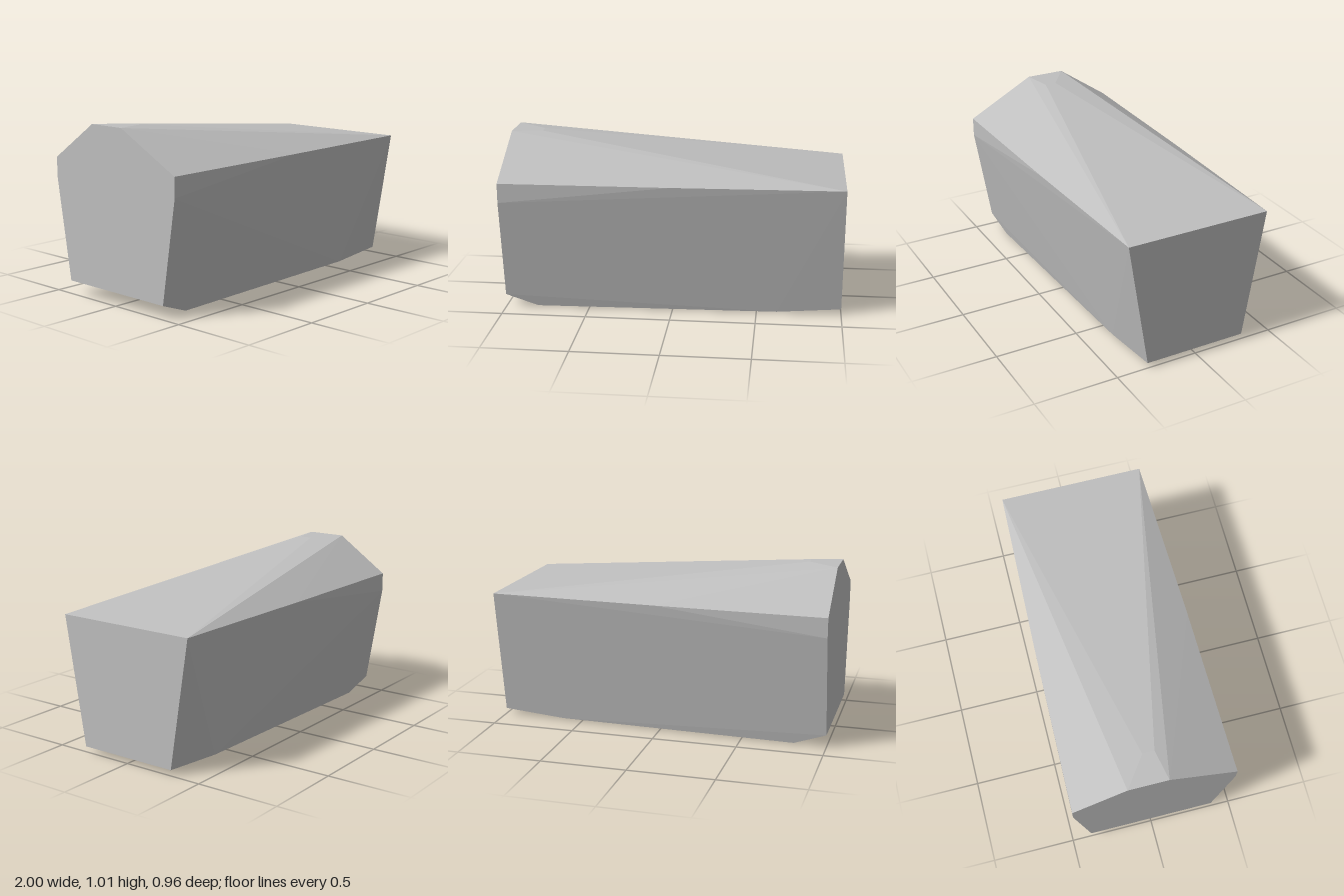
import * as THREE from 'three';
import { ConvexGeometry } from 'three/addons/geometries/ConvexGeometry.js';

export function createModel() {
  const model = new THREE.Group();
  model.name = 'facetedBlock';
  const grey = new THREE.MeshStandardMaterial({ color: 0xbfbfbf });
  grey.name = 'plainGrey';

  // Mirrored corners: x, y, half depth
  const corners = [
    [-1, 0.795, 0.48], [-1, 0.68, 0.48], [-1, 0.08, 0.382], // tall end
    [0, 0.795, 0.464],                                      // slight side bulge
    [1, 0.795, 0.435], [1, 0.035, 0.31],                    // low end
    [-0.81, 0.008, 0.362], [0.62, 0.01, 0.325],             // underside rim
    [-0.2, 0.002, 0.2],                                     // belly
    [-0.82, 1.01, 0.035],                                   // ridge tip
  ];
  const points = corners.flatMap(([x, y, z]) => [
    new THREE.Vector3(x, y, z), new THREE.Vector3(x, y, -z),
  ]);
  // Off-centre ridge at the tall end
  points.push(new THREE.Vector3(-1, 1.012, 0.072), new THREE.Vector3(-1, 1.012, -0.165));

  const block = new THREE.Mesh(new ConvexGeometry(points), grey);
  block.name = 'blockBody';
  model.add(block);
  return model;
}
